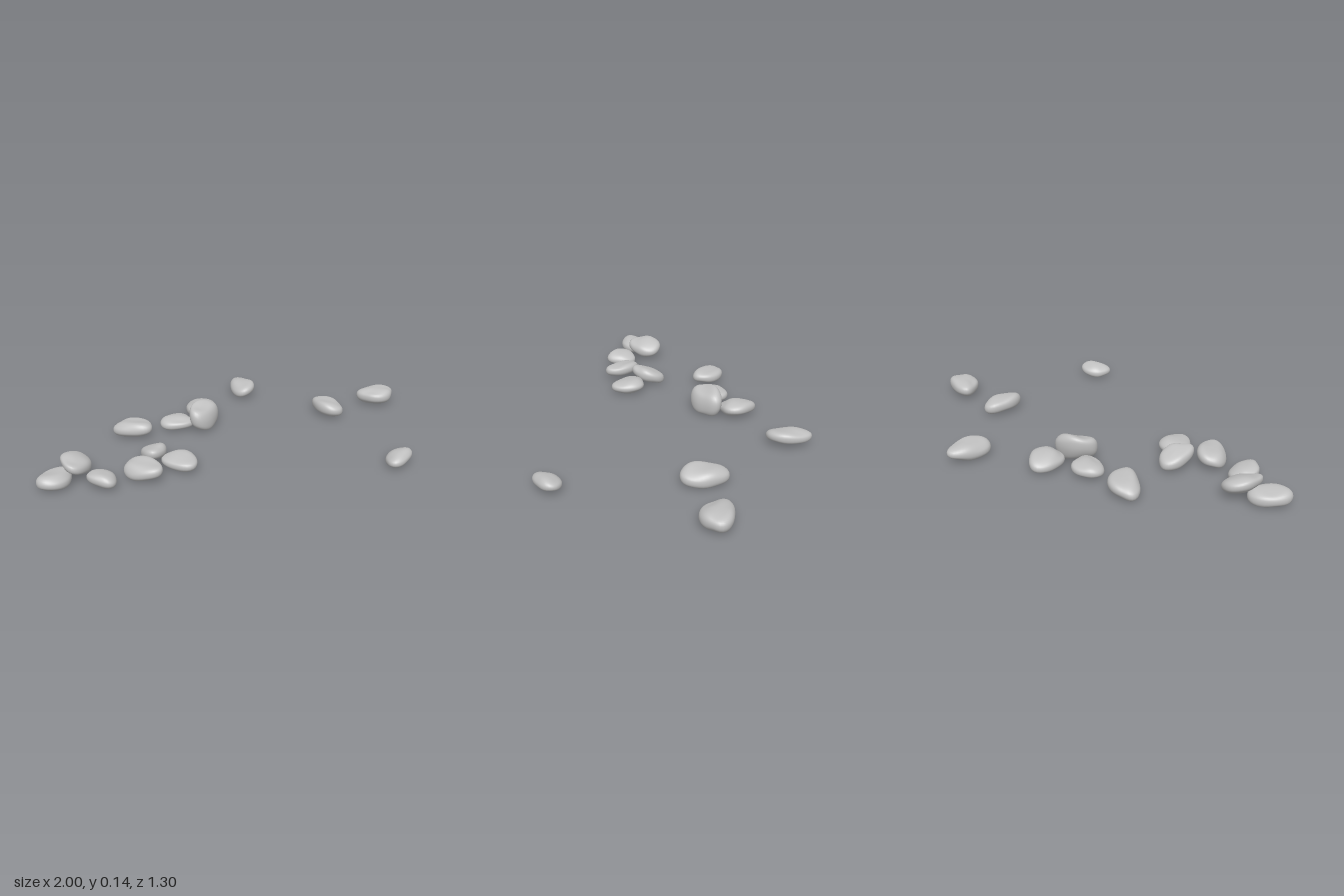
import * as THREE from 'three';
import { mergeVertices } from 'three/addons/utils/BufferGeometryUtils.js';

const stoneGrey = new THREE.MeshStandardMaterial({ color: 0xc0c0c0 });
stoneGrey.name = 'stone grey';

// Move and scale one axis so that it fills a range exactly
function fitAxis(points, axis, min, max) {
  const values = points.map((p) => p[axis]);
  const low = Math.min(...values), high = Math.max(...values);
  for (const p of points) p[axis] = min + ((p[axis] - low) / (high - low)) * (max - min);
}

// A pebble filling the given x, y and z ranges. Its oval outline is skewed by lean,
// and corner gives it a blunt point in the direction pointDegrees (from +x towards +z).
function makeStone(name, seed, [x0, x1], [y0, y1], [z0, z1], [tiltX, tiltZ], [lean, pointDegrees, corner]) {
  let geometry = new THREE.SphereGeometry(1, 36, 22);
  geometry.deleteAttribute('uv');
  geometry.deleteAttribute('normal');
  geometry = mergeVertices(geometry, 1e-4);
  const position = geometry.attributes.position;
  const point = THREE.MathUtils.degToRad(pointDegrees);
  const points = [];
  for (let i = 0; i < position.count; i++) {
    const p = new THREE.Vector3().fromBufferAttribute(position, i);
    const angle = Math.atan2(p.z, p.x);
    const dent = 1
      + 0.05 * Math.sin(2.3 * p.x + 2.9 * p.y + seed * 1.7)
      + 0.05 * Math.sin(3.1 * p.z - 2.2 * p.y + seed * 2.9)
      + 0.03 * Math.sin(4.3 * p.x - 3.7 * p.z + seed * 4.1);
    const r = Math.pow(Math.hypot(p.x, p.z), 0.78) * (1 + corner * Math.cos(3 * (angle - point))) * (0.6 + 0.4 * dent);
    const x = r * Math.cos(angle);
    const y = Math.sign(p.y) * Math.pow(Math.abs(p.y), 0.86) * dent * dent;
    points.push(p.set(x, y, r * Math.sin(angle) + lean * x));
  }
  fitAxis(points, 'x', x0, x1);
  fitAxis(points, 'z', z0, z1);
  const cx = (x0 + x1) / 2, cz = (z0 + z1) / 2;
  for (const p of points) p.y = p.y * 0.04 + tiltX * (p.x - cx) + tiltZ * (p.z - cz);
  fitAxis(points, 'y', y0, y1);
  points.forEach((p, i) => position.setXYZ(i, p.x, p.y, p.z));
  geometry.computeVertexNormals();
  const mesh = new THREE.Mesh(geometry, stoneGrey);
  mesh.name = name;
  return mesh;
}

export function createModel() {
  const group = new THREE.Group();
  group.name = 'scatteredStones';
  let seed = 0;
  const add = (name, ...shape) => group.add(makeStone(name, ++seed, ...shape));

  // Stones on the -x side: x, y and z ranges, tilt, outline
  add('farSideStone', [-1, -0.82], [0.005, 0.075], [-0.36, -0.21], [0, 0], [-0.25, -45, 0.03]);
  add('leaningStone', [-0.865, -0.71], [0.02, 0.115], [-0.385, -0.22], [-0.3, -0.15], [-0.3, 135, 0.04]);
  add('pointedStone', [-0.815, -0.685], [0.005, 0.078], [-0.215, -0.06], [-0.3, 0], [-0.05, 90, 0.08]);
  add('slantedStone', [-0.645, -0.505], [0.005, 0.09], [-0.175, 0.015], [0.25, 0], [0.25, 70, 0.04]);
  add('raisedStone', [-0.51, -0.375], [0.01, 0.1], [-0.27, -0.11], [0, 0.25], [-0.3, 150, 0.05]);
  add('lowStone', [-0.46, -0.31], [0.005, 0.075], [-0.14, 0.04], [0, 0], [0.1, 90, 0.08]);

  // Stones near the middle
  add('backStone', [-0.43, -0.265], [0.005, 0.085], [-0.58, -0.4], [0.1, 0], [0.35, 75, 0.07]);
  add('wedgeStone', [-0.21, -0.055], [0.005, 0.068], [-0.5, -0.35], [0.1, 0], [0.2, 60, 0.07]);
  add('uprightStone', [-0.112, 0.08], [0.005, 0.14], [-0.4, -0.275], [-0.08, -0.3], [-0.3, 0, 0.03]);
  add('middleBackStone', [-0.01, 0.14], [0.005, 0.085], [-0.565, -0.385], [0.1, 0.05], [0, -90, 0.08]);

  // Stones on the +x side
  add('longBackStone', [0.35, 0.495], [0.005, 0.085], [-0.655, -0.455], [0.15, 0.05], [-0.4, -60, 0.04]);
  add('longStone', [0.52, 0.66], [0.005, 0.085], [-0.155, 0.06], [-0.05, 0], [-0.25, -70, 0.04]);
  add('endStone', [0.815, 0.995], [0.005, 0.09], [-0.05, 0.115], [0.05, 0], [0.3, -135, 0.09]);
  add('frontStone', [0.32, 0.48], [0.005, 0.077], [0.535, 0.65], [0.12, 0.15], [-0.2, 150, 0.06]);

  return group;
}
